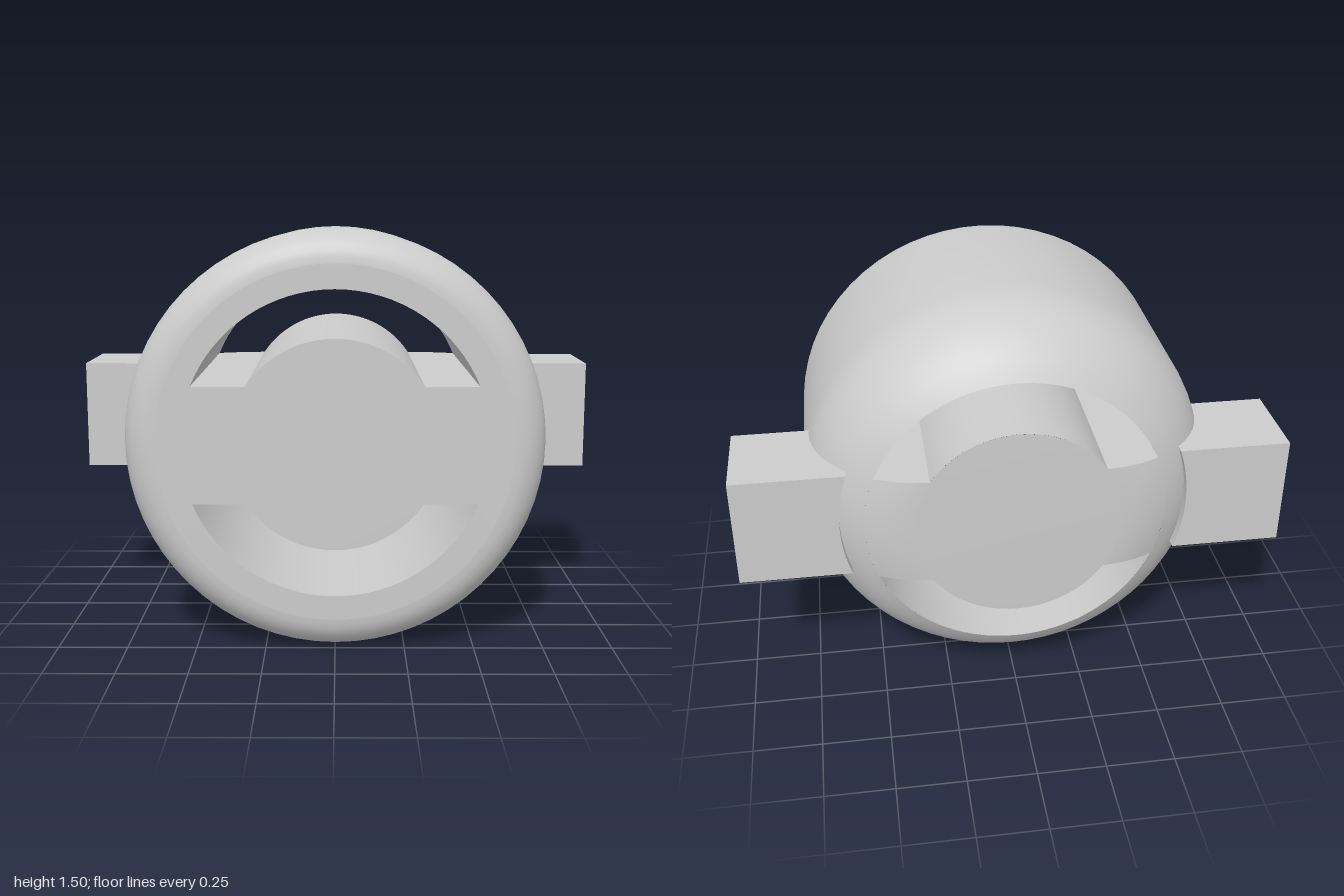
import * as THREE from 'three';
import { toCreasedNormals } from 'three/addons/utils/BufferGeometryUtils.js';

const R = 0.75, FRONT = 0.54, FILLET = 0.12;        // drum
const DOME = 0.4, DOME_R = R - DOME, DOME_Z = -0.14; // rounded back
const RIM = 0.543, HUB = 0.374, HALF = 0.208;        // slot rim, hub, half bar height

const material = new THREE.MeshStandardMaterial({ color: 0xcccccc });

// depth of the back surface at radius r
const backZ = r => DOME_Z - Math.sqrt(DOME * DOME - Math.max(0, r - DOME_R) ** 2);

// surface patch from f(u, v); it faces du x dv
function grid(nu, nv, f) {
  const pos = [], index = [];
  for (let j = 0; j <= nv; j++)
    for (let i = 0; i <= nu; i++) pos.push(...f(i / nu, j / nv));
  for (let j = 0; j < nv; j++)
    for (let i = 0; i < nu; i++) {
      const a = j * (nu + 1) + i, b = a + 1, c = a + nu + 1, d = c + 1;
      index.push(a, b, c, b, d, c);
    }
  const g = new THREE.BufferGeometry();
  g.setAttribute('position', new THREE.Float32BufferAttribute(pos, 3));
  g.setIndex(index);
  return toCreasedNormals(g, 0.6);
}

// lathe turned so that its axis runs along z
function lathe(points) {
  const pts = points.map(([r, z]) => new THREE.Vector2(r, z));
  return toCreasedNormals(new THREE.LatheGeometry(pts, 64).rotateX(Math.PI / 2), 0.6);
}

// counter-clockwise outline of the upper slot
function slotOutline() {
  const pts = [], a = Math.asin(HALF / RIM), b = Math.asin(HALF / HUB), n = 32;
  const xo = RIM * Math.cos(a), xi = HUB * Math.cos(b);
  const arc = (r, t) => pts.push(new THREE.Vector2(r * Math.cos(t), r * Math.sin(t)));
  for (let i = 0; i <= n; i++) arc(RIM, a + (Math.PI - 2 * a) * i / n);
  for (let i = 1; i < 6; i++) pts.push(new THREE.Vector2(-xo + (xo - xi) * i / 6, HALF));
  for (let i = 0; i <= n; i++) arc(HUB, Math.PI - b - (Math.PI - 2 * b) * i / n);
  for (let i = 1; i < 6; i++) pts.push(new THREE.Vector2(xi + (xo - xi) * i / 6, HALF));
  return pts;
}

export function createModel() {
  const model = new THREE.Group();
  model.name = 'slottedDrum';
  model.position.y = R;
  const add = (name, geometry, turn = 0) => {
    const mesh = new THREE.Mesh(geometry, material);
    mesh.name = name;
    mesh.rotation.z = turn;
    model.add(mesh);
  };

  // outer shell: domed back, straight side, rounded front edge
  const profile = [];
  const start = Math.acos((RIM - DOME_R) / DOME);
  for (let i = 0; i <= 10; i++) {
    const t = start * (1 - i / 10);
    profile.push([DOME_R + DOME * Math.cos(t), DOME_Z - DOME * Math.sin(t)]);
  }
  for (let i = 0; i <= 8; i++) {
    const t = Math.PI / 2 * i / 8;
    profile.push([R - FILLET + FILLET * Math.cos(t), FRONT - FILLET + FILLET * Math.sin(t)]);
  }
  add('drumShell', lathe(profile));

  // flat front with the two slots
  const outline = slotOutline();
  const face = new THREE.Shape().absarc(0, 0, R - FILLET, 0, Math.PI * 2);
  face.holes.push(new THREE.Path(outline));
  face.holes.push(new THREE.Path(outline.map(p => p.clone().negate())));
  add('frontFace', new THREE.ShapeGeometry(face, 64).translate(0, 0, FRONT));

  // back of the hub
  add('hubBack', lathe([[0, -0.54], [DOME_R, -0.54], [HUB, backZ(HUB)]]));

  // back of the crossbar, following the dome and tucked just under the hub edge
  const bar = grid(10, 6, (u, v) => {
    const r = HUB - 0.004 + (RIM - HUB + 0.004) * v, t = Math.asin(HALF / r) * (2 * u - 1);
    return [r * Math.cos(t), r * Math.sin(t), backZ(r)];
  });

  // walls of the slots, running from the front face to the back
  const n = outline.length;
  const wall = grid(n, 1, (u, v) => {
    const p = outline[Math.round(u * n) % n];
    return [p.x, p.y, v ? backZ(p.length()) : FRONT];
  });

  // side arm with a concave inner end
  const a = Math.asin(HALF / 0.63);
  const armShape = new THREE.Shape();
  armShape.moveTo(1, -HALF);
  armShape.lineTo(1, HALF);
  armShape.absarc(0, 0, 0.63, a, -a, true);
  const arm = new THREE.ExtrudeGeometry(armShape, { depth: 0.335, bevelEnabled: false, curveSegments: 16 });
  arm.translate(0, 0, -0.46);

  [['left', 'upper', 0], ['right', 'lower', Math.PI]].forEach(([side, level, turn]) => {
    add(side + 'CrossbarBack', bar, turn);
    add(level + 'SlotWall', wall, turn);
    add(side + 'Arm', arm, turn);
  });

  const group = new THREE.Group();
  group.add(model);
  return group;
}
